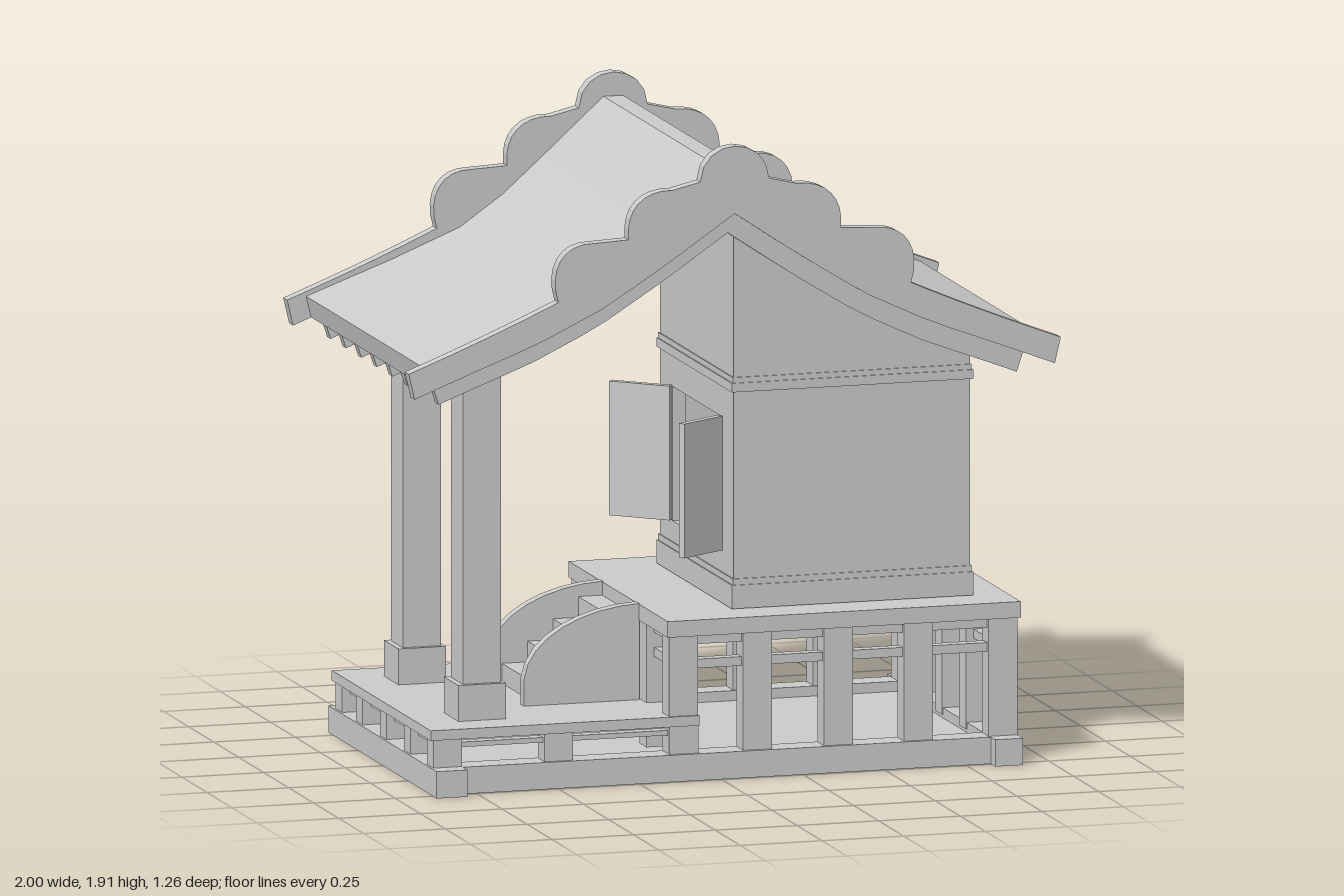
import * as THREE from 'three';

const material = new THREE.MeshStandardMaterial({ color: 0xcccccc, flatShading: true });

// Underside line of the roof, as height over distance from the ridge
const EAVE = [[0, 1.71], [0.2, 1.575], [0.4, 1.45], [0.6, 1.355], [0.8, 1.28], [0.98, 1.21]];
function eaveY(x) {
  const a = Math.abs(x);
  let i = 0;
  while (i < EAVE.length - 2 && a > EAVE[i + 1][0]) i++;
  const [x0, y0] = EAVE[i], [x1, y1] = EAVE[i + 1];
  return y0 + (y1 - y0) * (a - x0) / (x1 - x0);
}

// Eave line sampled between two x positions, shifted by dy
function eaveLine(from, to, dy = 0, steps = 24) {
  return Array.from({ length: steps + 1 }, (_, i) => {
    const x = from + (to - from) * i / steps;
    return [x, eaveY(x) + dy];
  });
}

const mirrored = (half) => [...half.map(([x, y]) => [-x, y]).reverse(), ...half];

export function createModel() {
  const model = new THREE.Group();

  function add(parent, name, geometry) {
    const mesh = new THREE.Mesh(geometry, material);
    mesh.name = name;
    parent.add(mesh);
    return mesh;
  }
  // Box given by its limits on each axis
  function box(parent, name, x0, x1, y0, y1, z0, z1) {
    const mesh = add(parent, name, new THREE.BoxGeometry(x1 - x0, y1 - y0, z1 - z0));
    mesh.position.set((x0 + x1) / 2, (y0 + y1) / 2, (z0 + z1) / 2);
    return mesh;
  }
  // Outline in x, y pushed from z0 to z1
  function slab(parent, name, shape, z0, z1) {
    const outline = Array.isArray(shape)
      ? new THREE.Shape(shape.map(([x, y]) => new THREE.Vector2(x, y))) : shape;
    const mesh = add(parent, name, new THREE.ExtrudeGeometry(outline,
      { depth: z1 - z0, bevelEnabled: false, curveSegments: 8 }));
    mesh.position.z = z0;
    return mesh;
  }
  function group(name) {
    const g = new THREE.Group();
    g.name = name;
    model.add(g);
    return g;
  }

  // Ground frame: cross beams stick out past the long beams
  const base = group('base');
  box(base, 'baseFloor', -0.8, 0.83, 0.02, 0.05, -0.47, 0.46);
  for (const [x0, x1] of [[-0.885, -0.79], [0.825, 0.91]])
    box(base, 'crossBeam', x0, x1, 0, 0.08, -0.543, 0.538);
  for (const z of [-0.463, 0.453])
    box(base, 'longBeam', -0.8, 0.83, 0, 0.08, z - 0.04, z + 0.04);

  // Two decks on posts with rails between the posts
  const POST_Z = [-0.463, -0.26, -0.02, 0.22, 0.449];
  function deck(name, x0, x1, top, thick, postX, rails) {
    const g = group(name);
    const under = top - thick, first = postX[0], last = postX[postX.length - 1];
    box(g, 'deckFloor', x0, x1, under, top, -0.502, 0.489);
    const post = (x, z) => box(g, 'post', x - 0.044, x + 0.044, 0.06, under, z - 0.033, z + 0.033);
    for (const z of [POST_Z[0], POST_Z[4]]) {
      postX.forEach((x) => post(x, z));
      for (const [y0, y1] of rails)
        box(g, 'sideRail', first, last, y0, y1, z - 0.018, z + 0.018);
    }
    for (const x of [first, last]) {
      POST_Z.slice(1, 4).forEach((z) => post(x, z));
      for (const [y0, y1] of rails)
        box(g, 'endRail', x - 0.02, x + 0.02, y0, y1, POST_Z[0], POST_Z[4]);
    }
  }
  deck('upperDeck', -0.163, 0.918, 0.478, 0.048, [-0.112, 0.114, 0.362, 0.607, 0.866],
    [[0.33, 0.357], [0.402, 0.432]]);
  deck('lowerDeck', -0.888, -0.066, 0.193, 0.03, [-0.834, -0.494, -0.11],
    [[0.135, 0.15]]);

  // Stairs between two curved cheek boards
  const stairs = group('stairs');
  const cheek = new THREE.Shape();
  cheek.moveTo(-0.16, 0.19);
  cheek.lineTo(-0.16, 0.48);
  cheek.bezierCurveTo(-0.33, 0.475, -0.5, 0.4, -0.515, 0.27);
  cheek.lineTo(-0.515, 0.19);
  for (const z of [-0.2, 0.165]) slab(stairs, 'stairCheek', cheek, z, z + 0.035);
  for (let i = 0; i < 4; i++)
    box(stairs, 'step', -0.47 + i * 0.078, -0.16, 0.19 + i * 0.062, 0.252 + i * 0.062, -0.17, 0.17);

  // Porch pillars on square footings
  for (const z of [-0.3, 0.3]) {
    const pillar = group('pillar');
    box(pillar, 'pillarShaft', -0.75, -0.633, 0.19, 1.34, z - 0.058, z + 0.058);
    box(pillar, 'pillarFooting', -0.768, -0.622, 0.19, 0.3, z - 0.073, z + 0.073);
  }

  // Chamber with a doorway towards the stairs
  const house = group('house');
  const X0 = 0.08, X1 = 0.803, Z0 = -0.382, Z1 = 0.356, WALL = 0.04;
  const sideWall = [[X0, 0.48], [X1, 0.48], ...eaveLine(X1, X0, 0.02)];
  slab(house, 'sideWall', sideWall, Z0, Z0 + WALL);
  slab(house, 'sideWall', sideWall, Z1 - WALL, Z1);
  box(house, 'rearWall', X1 - WALL, X1, 0.48, 1.29, Z0 + WALL, Z1 - WALL);
  box(house, 'houseFloor', X0 + 0.01, X1 - WALL, 0.48, 0.63, Z0 + WALL, Z1 - WALL);
  box(house, 'houseCeiling', X0 + 0.01, X1 - WALL, 1.12, 1.15, Z0 + WALL, Z1 - WALL);
  const D0 = -0.255, D1 = 0.235;
  box(house, 'doorSill', X0, X0 + WALL, 0.48, 0.63, Z0 + WALL, Z1 - WALL);
  box(house, 'doorLintel', X0, X0 + WALL, 1.03, 1.66, Z0 + WALL, Z1 - WALL);
  box(house, 'doorJamb', X0, X0 + WALL, 0.63, 1.03, Z0 + WALL, D0);
  box(house, 'doorJamb', X0, X0 + WALL, 0.63, 1.03, D1, Z1 - WALL);

  // Trim bands around the chamber
  function band(name, y0, y1, out) {
    box(house, name, X0 - out, X1 + out, y0, y1, Z0 - out, Z0 + 0.01);
    box(house, name, X0 - out, X1 + out, y0, y1, Z1 - 0.01, Z1 + out);
    box(house, name, X0 - out, X0 + 0.01, y0, y1, Z0, Z1);
    box(house, name, X1 - 0.01, X1 + out, y0, y1, Z0, Z1);
  }
  band('sillBand', 0.48, 0.55, 0.008);
  band('sillBandTop', 0.55, 0.568, 0.004);
  band('upperBand', 1.125, 1.152, 0.008);
  band('upperBandTop', 1.152, 1.168, 0.004);

  // Door leaves standing open
  for (const [hinge, tip] of [[D0, -0.385], [D1, 0.325]]) {
    const dx = -0.145, dz = tip - hinge;
    const leaf = add(house, 'doorLeaf', new THREE.BoxGeometry(Math.hypot(dx, dz), 0.4, 0.022));
    leaf.position.set(0.075 + dx / 2, 0.833, hinge + dz / 2);
    leaf.rotation.y = Math.atan2(-dz, dx);
  }

  // Roof covering
  const roof = group('roof');
  const roofTop = mirrored([[0.03, 1.84], [0.22, 1.67], [0.34, 1.565], [0.47, 1.475], [0.68, 1.39], [0.94, 1.295]]);
  slab(roof, 'roofCovering', [...eaveLine(-0.925, 0.925), ...roofTop.reverse()], -0.6, 0.6);

  // Rafters following the underside
  const rafter = [...eaveLine(-0.885, 0.885, -0.07), [0.908, 1.247], ...eaveLine(0.9, -0.9, 0.01), [-0.908, 1.247]];
  for (let i = 0; i < 8; i++) {
    const z = -0.54 + i * 1.08 / 7;
    slab(roof, 'rafter', rafter, z - 0.017, z + 0.017);
  }

  // Scalloped gable boards
  const gable = new THREE.Shape();
  gable.moveTo(-0.98, 1.21);
  eaveLine(-0.98, 0.98).forEach(([x, y]) => gable.lineTo(x, y));
  gable.lineTo(0.998, 1.287);
  gable.quadraticCurveTo(0.75, 1.38, 0.54, 1.475);
  gable.bezierCurveTo(0.57, 1.57, 0.53, 1.65, 0.43, 1.645);
  gable.lineTo(0.325, 1.65);
  gable.bezierCurveTo(0.335, 1.74, 0.28, 1.795, 0.19, 1.79);
  gable.lineTo(0.105, 1.81);
  gable.bezierCurveTo(0.1, 1.945, -0.1, 1.945, -0.105, 1.81);
  gable.lineTo(-0.19, 1.79);
  gable.bezierCurveTo(-0.28, 1.795, -0.335, 1.74, -0.325, 1.65);
  gable.lineTo(-0.43, 1.645);
  gable.bezierCurveTo(-0.53, 1.65, -0.57, 1.57, -0.54, 1.475);
  gable.quadraticCurveTo(-0.75, 1.38, -0.998, 1.287);
  for (const z of [-0.628, 0.588]) slab(roof, 'gableBoard', gable, z, z + 0.04);

  return model;
}
